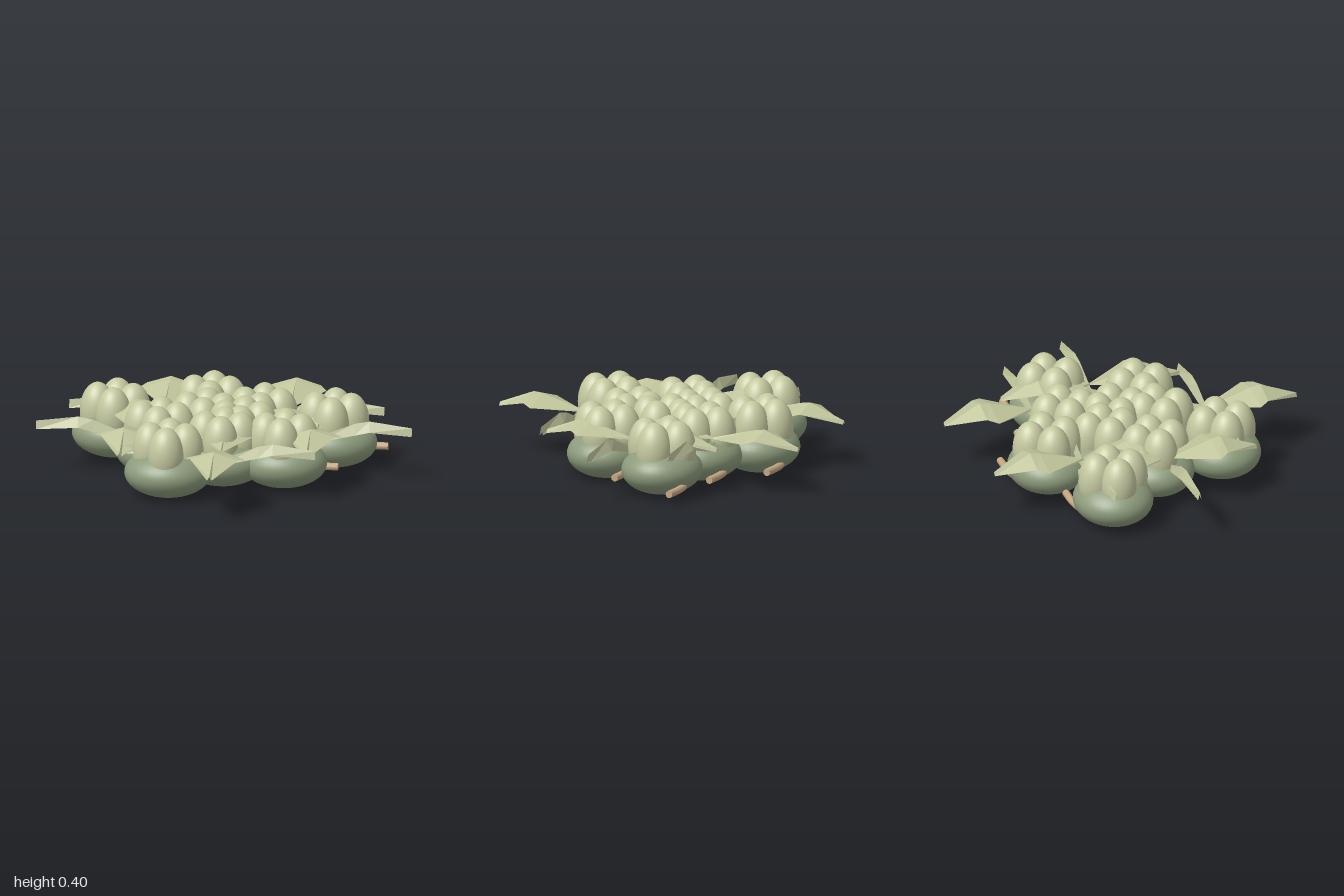
import * as THREE from 'three';

const mat = (name, color, side = THREE.FrontSide) => {
  const m = new THREE.MeshStandardMaterial({ color, side });
  m.name = name;
  return m;
};

// Folded leaf along +z: each station is [distance, half width, ridge height, edge drop]
function leafGeometry(stations) {
  const pos = [];
  const section = ([z, w, y, d]) => [[-w, y - d, z], [0, y, z], [w, y - d, z]];
  for (let i = 0; i < stations.length - 1; i++) {
    const a = section(stations[i]), b = section(stations[i + 1]);
    for (let j = 0; j < 2; j++) {
      pos.push(...a[j], ...b[j], ...b[j + 1], ...a[j], ...b[j + 1], ...a[j + 1]);
    }
  }
  const g = new THREE.BufferGeometry();
  g.setAttribute('position', new THREE.Float32BufferAttribute(pos, 3));
  g.computeVertexNormals();
  return g;
}

export function createModel() {
  const model = new THREE.Group();
  model.name = 'succulentCluster';
  const bodyMat = mat('sageGreen', 0x8d9b7c);
  const paleMat = mat('paleGreen', 0xc5c9a0);
  const leafMat = mat('leafGreen', 0xc0c59c, THREE.DoubleSide);
  const stemMat = mat('tanStem', 0xc4a882);

  const add = (parent, name, geo, material, x = 0, y = 0, z = 0) => {
    const m = new THREE.Mesh(geo, material);
    m.name = name;
    m.position.set(x, y, z);
    parent.add(m);
    return m;
  };

  const bodyGeo = new THREE.SphereGeometry(1, 40, 24).scale(0.232, 0.13, 0.212);
  const lobeGeo = new THREE.SphereGeometry(1, 28, 20).scale(0.095, 0.155, 0.095);
  const stemPath = new THREE.CatmullRomCurve3([
    new THREE.Vector3(0, 0.1, -0.1),
    new THREE.Vector3(0.06, 0.072, -0.155),
    new THREE.Vector3(0.14, 0.07, -0.172),
    new THREE.Vector3(0.27, 0.07, -0.172),
  ]);
  const stemGeo = new THREE.TubeGeometry(stemPath, 16, 0.02, 10);
  const capGeo = new THREE.CircleGeometry(0.02, 10).rotateY(Math.PI / 2);

  // Plump bodies, each crowned by four lobes and carrying a side stem
  const plants = [
    [-0.62, -0.315], [-0.13, -0.515], [0.55, -0.27], [0.165, -0.32], [-0.125, -0.19],
    [-0.345, 0.01], [0.09, -0.06], [0.01, 0.16], [0.335, 0.155], [-0.25, 0.415],
  ];
  for (const [x, z] of plants) {
    const plant = new THREE.Group();
    plant.name = 'plant';
    plant.position.set(x, 0, z);
    model.add(plant);
    add(plant, 'body', bodyGeo, bodyMat, 0, 0.135, 0);
    for (let i = 0; i < 4; i++) {
      const a = i * Math.PI / 2;
      add(plant, 'lobe', lobeGeo, paleMat, Math.cos(a) * 0.095, 0.25, Math.sin(a) * 0.095);
    }
    add(plant, 'stem', stemGeo, stemMat);
    add(plant, 'stemEnd', capGeo, stemMat, 0.27, 0.07, -0.172);
  }

  // Leaf crosses: broad leaves along z, narrow leaves along x
  const broadGeo = leafGeometry([
    [0, 0.006, 0.27, 0.01], [0.245, 0.165, 0.335, 0.045],
    [0.3, 0.128, 0.343, 0.04], [0.5, 0.012, 0.265, 0.02],
  ]);
  const narrowGeo = leafGeometry([
    [0, 0.006, 0.22, 0.03], [0.2, 0.022, 0.3, 0.06],
    [0.28, 0.028, 0.315, 0.055], [0.505, 0.01, 0.285, 0.045],
  ]);
  const crosses = [[0.035, 0.435], [-0.495, 0.03], [0.49, -0.065], [-0.37, -0.395], [0.295, -0.45]];
  for (const [x, z] of crosses) {
    const cross = new THREE.Group();
    cross.name = 'leafCross';
    cross.position.set(x, 0, z);
    model.add(cross);
    for (let i = 0; i < 4; i++) {
      const narrow = i % 2 === 1;
      const leaf = add(cross, narrow ? 'narrowLeaf' : 'broadLeaf', narrow ? narrowGeo : broadGeo,
        leafMat, 0, 0, narrow ? 0.012 : 0);
      leaf.rotation.y = i * Math.PI / 2;
    }
  }
  return model;
}
